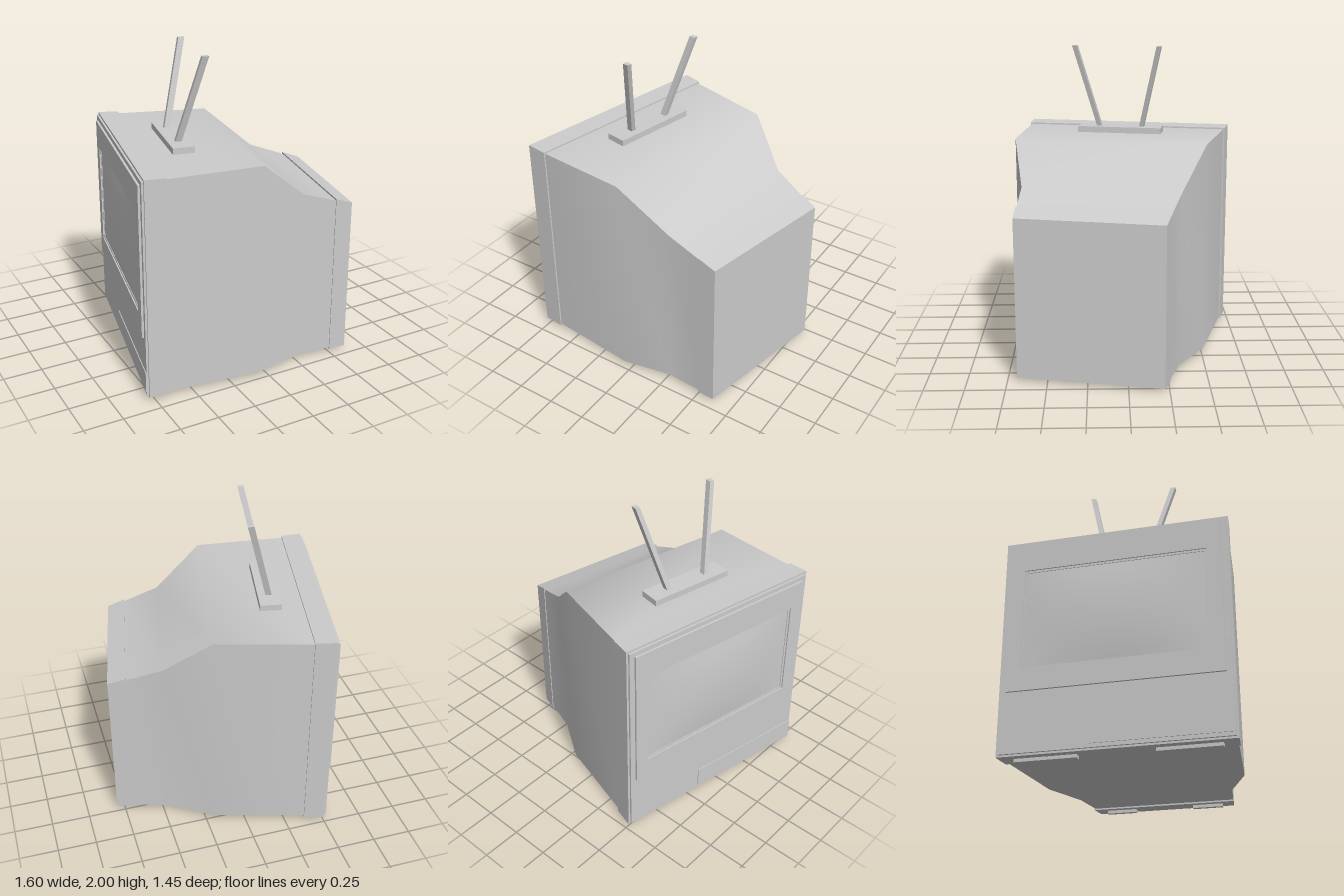
import * as THREE from 'three';
import { toCreasedNormals } from 'three/addons/utils/BufferGeometryUtils.js';

const material = new THREE.MeshStandardMaterial({ color: 0xcccccc });

// Rectangular sections joined in a row: each is [x, zMin, zMax, yMin, yMax]
function loft(sections) {
  const pos = [], idx = [];
  for (const [x, z0, z1, y0, y1] of sections) {
    pos.push(x, y0, z0, x, y0, z1, x, y1, z1, x, y1, z0);
  }
  for (let s = 0; s < sections.length - 1; s++) {
    for (let i = 0; i < 4; i++) {
      const a = s * 4 + i, b = s * 4 + (i + 1) % 4;
      idx.push(a, a + 4, b, b, a + 4, b + 4);
    }
  }
  const e = (sections.length - 1) * 4;
  idx.push(0, 1, 2, 0, 2, 3, e, e + 2, e + 1, e, e + 3, e + 2);
  const g = new THREE.BufferGeometry();
  g.setAttribute('position', new THREE.Float32BufferAttribute(pos, 3));
  g.setIndex(idx);
  return toCreasedNormals(g, Math.PI / 4);
}

// Section symmetric across the width
const sec = (x, half, y0, y1) => [x, -half, half, y0, y1];

// Flat rectangular frame facing -x, with its back at x = 0
function frameGeometry(half, y0, y1, holeHalf, h0, h1, depth) {
  const rect = (p, w, a, b) =>
    p.moveTo(-w, a).lineTo(w, a).lineTo(w, b).lineTo(-w, b).closePath();
  const shape = rect(new THREE.Shape(), half, y0, y1);
  shape.holes.push(rect(new THREE.Path(), holeHalf, h0, h1));
  return new THREE.ExtrudeGeometry(shape, { depth, bevelEnabled: false })
    .rotateY(-Math.PI / 2);
}

export function createModel() {
  const group = new THREE.Group();
  // The set is turned slightly; its screen looks along its own -x
  const set = new THREE.Group();
  set.name = 'television';
  set.rotation.y = -0.2;
  set.position.set(-0.018, 0, 0.087);
  group.add(set);

  const add = (name, geometry, x = 0, y = 0, z = 0) => {
    const mesh = new THREE.Mesh(geometry, material);
    mesh.name = name;
    mesh.position.set(x, y, z);
    set.add(mesh);
    return mesh;
  };
  const box = (name, x0, x1, y0, y1, z0, z1) =>
    add(name, new THREE.BoxGeometry(x1 - x0, y1 - y0, z1 - z0),
      (x0 + x1) / 2, (y0 + y1) / 2, (z0 + z1) / 2);

  // Cabinet: front surround, tapering body, rear housing
  add('frontSurround', loft([sec(-0.64, 0.704, 0.02, 1.425), sec(-0.506, 0.692, 0.02, 1.42)]));
  add('body', loft([
    sec(-0.51, 0.683, 0.03, 1.41),
    sec(0.095, 0.628, 0.03, 1.41),
    sec(0.395, 0.507, 0.03, 1.155),
    sec(0.64, 0.474, 0.03, 1.07),
  ]));
  add('rearHousing', loft([sec(0.629, 0.481, 0.02, 1.085), sec(0.743, 0.465, 0.02, 1.045)]));

  // Front face: plate, raised bezel, inner rim, control flap
  box('facePlate', -0.653, -0.63, 0.032, 1.41, -0.69, 0.69);
  add('screenBezel', frameGeometry(0.655, 0.41, 1.38, 0.57, 0.545, 1.208, 0.014), -0.653);
  add('screenRim', frameGeometry(0.57, 0.545, 1.208, 0.555, 0.56, 1.193, 0.006), -0.653);
  box('controlFlap', -0.658, -0.65, 0.055, 0.185, -0.14, 0.69);

  // Bulging glass
  const w = 1.11, h = 0.633;
  const glass = new THREE.PlaneGeometry(w, h, 20, 14);
  const p = glass.attributes.position;
  for (let i = 0; i < p.count; i++) {
    const u = p.getX(i) / (w / 2), v = p.getY(i) / (h / 2);
    p.setZ(i, 0.023 * (1 - u * u) * (1 - v * v));
  }
  glass.computeVertexNormals();
  add('screenGlass', glass.rotateY(-Math.PI / 2), -0.655, 0.8765, 0);

  // Aerial base and two splayed rods, cut level at the ends
  box('aerialBase', -0.366, -0.228, 1.4, 1.45, -0.283, 0.283);
  for (const side of [-1, 1]) {
    const rod = new THREE.BoxGeometry(0.04, 0.56, 0.031);
    const r = rod.attributes.position;
    for (let i = 0; i < r.count; i++) {
      const t = r.getY(i) / 0.56 + 0.5;
      r.setX(i, r.getX(i) - 0.3 + 0.139 * t);
      r.setZ(i, r.getZ(i) + side * (0.143 + 0.138 * t));
    }
    rod.computeVertexNormals();
    add('aerialRod', rod, 0, 1.72, 0);

    // Feet: long ones under the front, short ones under the rear
    add('frontFoot', new THREE.BoxGeometry(0.04, 0.03, 0.38), -0.572, 0.015, side * 0.42);
    add('rearFoot', new THREE.BoxGeometry(0.03, 0.03, 0.2), 0.683, 0.015, side * 0.297);
  }
  return group;
}
